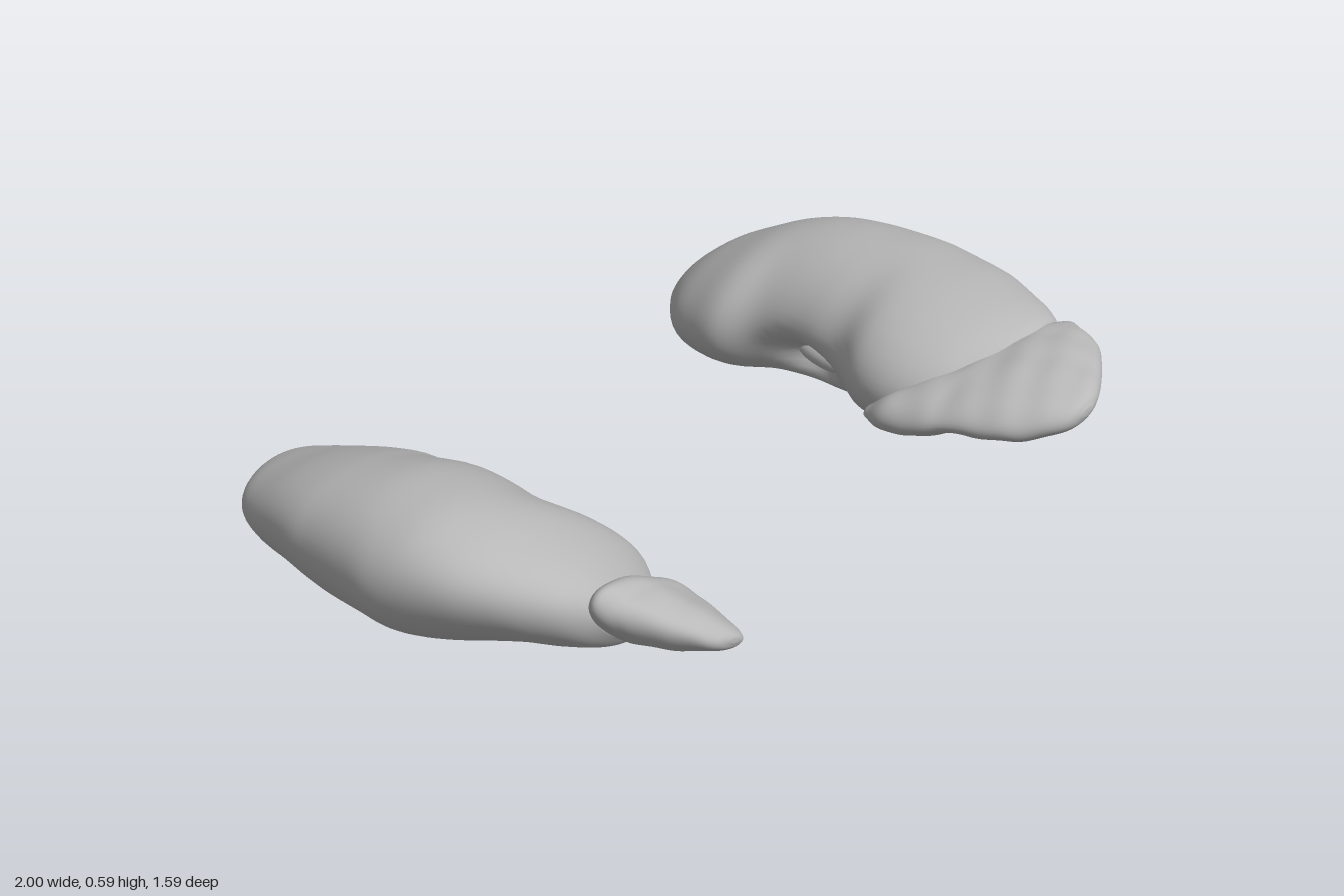
import * as THREE from 'three';

const SIDES = 56;
const STEPS = 72;

// Lofts leaning ellipses along z. Each station is [z, xMin, xMax, yMin, yMax, lean];
// shape(point, angle) can move each vertex afterwards.
function loft(stations, shape) {
  const curve = (pick) => new THREE.CatmullRomCurve3(
    stations.map((s) => new THREE.Vector3(...pick.map((k) => s[k]))), false, 'catmullrom', 0.5);
  const spread = curve([0, 1, 2]);
  const height = curve([5, 3, 4]);
  const positions = [];
  const index = [];
  const ends = [];
  for (let i = 0; i <= STEPS; i++) {
    const s = spread.getPoint(i / STEPS);
    const h = height.getPoint(i / STEPS);
    const cx = (s.y + s.z) / 2, a = (s.z - s.y) / 2;
    const cy = (h.y + h.z) / 2, b = (h.z - h.y) / 2;
    if (i === 0 || i === STEPS) ends.push([cx, cy, s.x]);
    for (let j = 0; j < SIDES; j++) {
      const t = (j / SIDES) * Math.PI * 2;
      const p = new THREE.Vector3(cx + a * Math.cos(t), cy + b * Math.sin(t + h.x), s.x);
      shape(p, t);
      positions.push(p.x, p.y, p.z);
    }
  }
  for (let i = 0; i < STEPS; i++) {
    for (let j = 0; j < SIDES; j++) {
      const k = (j + 1) % SIDES;
      const a = i * SIDES + j, b = i * SIDES + k;
      index.push(a, b, b + SIDES, a, b + SIDES, a + SIDES);
    }
  }
  // close both poles
  const first = positions.length / 3;
  ends.forEach((e) => positions.push(...e));
  for (let j = 0; j < SIDES; j++) {
    const k = (j + 1) % SIDES;
    index.push(first, k, j, first + 1, STEPS * SIDES + j, STEPS * SIDES + k);
  }
  const geometry = new THREE.BufferGeometry();
  geometry.setAttribute('position', new THREE.Float32BufferAttribute(positions, 3));
  geometry.setIndex(index);
  geometry.computeVertexNormals();
  return geometry;
}

// Presses a hollow into the inner side of a kidney
function hollow(zCentre, angle, push) {
  return (p, t) => {
    const d = Math.atan2(Math.sin(t - angle), Math.cos(t - angle));
    p.x += push * Math.exp(-((d / 0.3) ** 2) - ((p.z - zCentre) / 0.1) ** 2);
  };
}

// Uneven surface of the glands
function lumpy(p) {
  p.y += 0.003 * Math.sin(p.x * 38 + p.z * 17) * Math.sin(p.z * 41 - p.x * 13);
}

const leftKidneyStations = [
  [-0.598, 0.66, 0.70, 0.26, 0.285, 0.1],
  [-0.58, 0.58, 0.77, 0.215, 0.31, 0.1],
  [-0.55, 0.53, 0.82, 0.185, 0.35, 0.1],
  [-0.48, 0.46, 0.885, 0.155, 0.41, 0.1],
  [-0.4, 0.425, 0.925, 0.14, 0.46, 0.08],
  [-0.3, 0.41, 0.96, 0.14, 0.515, 0.05],
  [-0.2, 0.455, 0.98, 0.145, 0.55, 0],
  [-0.1, 0.46, 0.995, 0.153, 0.57, -0.03],
  [0, 0.45, 1.0, 0.165, 0.58, -0.03],
  [0.1, 0.435, 0.99, 0.187, 0.587, 0],
  [0.2, 0.375, 0.97, 0.213, 0.59, 0.03],
  [0.3, 0.36, 0.94, 0.245, 0.587, 0.08],
  [0.4, 0.385, 0.89, 0.28, 0.575, 0.13],
  [0.47, 0.44, 0.85, 0.317, 0.56, 0.18],
  [0.52, 0.53, 0.80, 0.37, 0.54, 0.2],
  [0.545, 0.62, 0.72, 0.43, 0.50, 0.2],
];

const rightKidneyStations = [
  [-0.795, -0.62, -0.58, 0.16, 0.19, -0.4],
  [-0.78, -0.70, -0.51, 0.10, 0.245, -0.45],
  [-0.74, -0.79, -0.46, 0.065, 0.295, -0.5],
  [-0.68, -0.87, -0.42, 0.04, 0.335, -0.5],
  [-0.6, -0.91, -0.385, 0.015, 0.375, -0.5],
  [-0.5, -0.94, -0.365, 0.003, 0.425, -0.5],
  [-0.4, -0.965, -0.385, 0.02, 0.465, -0.43],
  [-0.32, -0.975, -0.43, 0.045, 0.49, -0.35],
  [-0.2, -0.99, -0.435, 0.075, 0.52, -0.28],
  [-0.1, -1.0, -0.45, 0.1, 0.53, -0.25],
  [0, -0.985, -0.45, 0.12, 0.53, -0.32],
  [0.1, -0.95, -0.39, 0.13, 0.51, -0.45],
  [0.18, -0.90, -0.37, 0.135, 0.48, -0.55],
  [0.25, -0.84, -0.41, 0.145, 0.445, -0.6],
  [0.31, -0.77, -0.48, 0.175, 0.40, -0.65],
  [0.35, -0.68, -0.57, 0.24, 0.34, -0.65],
];

const leftGlandStations = [
  [0.285, 0.32, 0.345, 0.36, 0.385, 0.2],
  [0.35, 0.297, 0.41, 0.34, 0.44, 0.2],
  [0.45, 0.31, 0.60, 0.345, 0.495, 0.25],
  [0.51, 0.33, 0.83, 0.365, 0.53, 0.3],
  [0.58, 0.35, 0.825, 0.37, 0.545, 0.28],
  [0.65, 0.375, 0.79, 0.38, 0.545, 0.25],
  [0.7, 0.405, 0.73, 0.395, 0.54, 0.25],
  [0.75, 0.445, 0.655, 0.425, 0.53, 0.25],
  [0.78, 0.48, 0.60, 0.45, 0.515, 0.25],
  [0.793, 0.52, 0.56, 0.475, 0.495, 0.25],
];

const rightGlandStations = [
  [0.1, -0.385, -0.37, 0.125, 0.15, -0.7],
  [0.16, -0.45, -0.365, 0.11, 0.19, -0.7],
  [0.25, -0.60, -0.36, 0.115, 0.29, -0.75],
  [0.34, -0.72, -0.365, 0.14, 0.41, -0.8],
  [0.4, -0.69, -0.38, 0.16, 0.39, -0.75],
  [0.46, -0.635, -0.40, 0.18, 0.355, -0.7],
  [0.52, -0.575, -0.415, 0.205, 0.315, -0.7],
  [0.55, -0.53, -0.435, 0.225, 0.285, -0.7],
  [0.56, -0.49, -0.46, 0.245, 0.265, -0.7],
];

export function createModel() {
  const model = new THREE.Group();
  const tissue = new THREE.MeshStandardMaterial({ color: 0xb8b8b8 });
  tissue.name = 'grey tissue';

  const add = (name, geometry) => {
    const mesh = new THREE.Mesh(geometry, tissue);
    mesh.name = name;
    model.add(mesh);
    return mesh;
  };

  // kidneys, hollowed on the sides that face each other
  add('leftKidney', loft(leftKidneyStations, hollow(-0.05, Math.PI + 0.4, 0.1)));
  add('rightKidney', loft(rightKidneyStations, hollow(-0.16, -0.4, -0.1)));

  // wedge-shaped glands capping the front poles
  add('leftGland', loft(leftGlandStations, lumpy));
  add('rightGland', loft(rightGlandStations, lumpy));

  // soft folds inside the hollows
  const fold = new THREE.SphereGeometry(1, 24, 16);
  const folds = [
    ['leftFold', 0.57, 0.29, -0.02, 0.04, 0.035, 0.11],
    ['rightFold', -0.56, 0.17, -0.13, 0.04, 0.035, 0.12],
  ];
  for (const [name, x, y, z, sx, sy, sz] of folds) {
    const mesh = add(name, fold);
    mesh.position.set(x, y, z);
    mesh.scale.set(sx, sy, sz);
  }
  return model;
}
